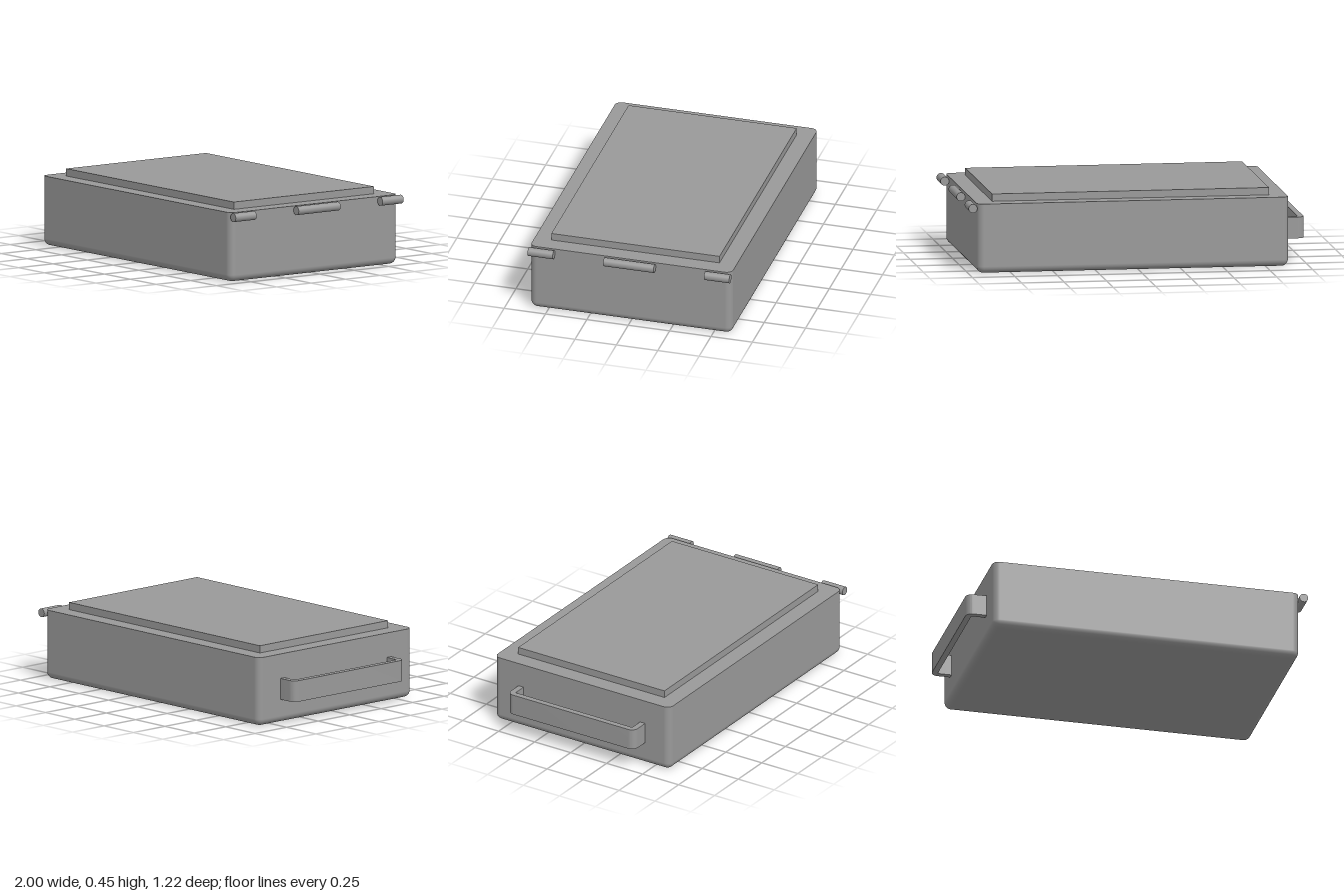
import * as THREE from 'three';
import { RoundedBoxGeometry } from 'three/addons/geometries/RoundedBoxGeometry.js';
import { toCreasedNormals } from 'three/addons/utils/BufferGeometryUtils.js';

const material = new THREE.MeshStandardMaterial({ color: 0x999999 }); // dark grey
const TOP = 0.408;      // height of the case body
const CENTRE_X = 0.033; // the case sits off centre to leave room for the handle

function part(name, geometry, x = 0, y = 0, z = 0) {
  const mesh = new THREE.Mesh(geometry, material);
  mesh.name = name;
  mesh.position.set(x, y, z);
  return mesh;
}

// Rounded box whose upper fillet is pressed flat, leaving a sharp top rim
function bodyGeometry(width, depth, radius) {
  const height = TOP + radius;
  const geometry = new RoundedBoxGeometry(width, height, depth, 6, radius);
  geometry.translate(0, height / 2, 0);
  const pos = geometry.attributes.position;
  const normal = geometry.attributes.normal;
  for (let i = 0; i < pos.count; i += 3) {
    const corners = [i, i + 1, i + 2];
    const flat = corners.every((c) => pos.getY(c) > TOP - 1e-4);
    for (const c of corners) {
      pos.setY(c, Math.min(pos.getY(c), TOP));
      if (flat) normal.setXYZ(c, 0, 1, 0);
    }
  }
  return geometry;
}

// U-shaped bar drawn in plan and extruded upwards
function handleGeometry() {
  const inner = -0.878, outer = -1, half = 0.44, t = 0.035, r = 0.04, ri = 0.006;
  const s = new THREE.Shape();
  s.moveTo(inner, half);
  s.lineTo(outer + r, half);
  s.absarc(outer + r, half - r, r, Math.PI / 2, Math.PI, false);
  s.absarc(outer + r, -half + r, r, Math.PI, Math.PI * 1.5, false);
  s.lineTo(inner, -half);
  s.lineTo(inner, -half + t);
  s.absarc(outer + t + ri, -half + t + ri, ri, Math.PI * 1.5, Math.PI, true);
  s.absarc(outer + t + ri, half - t - ri, ri, Math.PI, Math.PI / 2, true);
  s.lineTo(inner, half - t);
  s.closePath();
  const geometry = new THREE.ExtrudeGeometry(s, { depth: 0.125, bevelEnabled: false, curveSegments: 8 });
  geometry.rotateX(-Math.PI / 2);
  return toCreasedNormals(geometry, 0.6);
}

export function createModel() {
  const model = new THREE.Group();
  model.name = 'hingedCase';

  model.add(part('caseBody', bodyGeometry(1.83, 1.218, 0.04), CENTRE_X));
  model.add(part('raisedPanel', new THREE.BoxGeometry(1.628, 0.043, 1.016), CENTRE_X, TOP + 0.0215));
  model.add(part('handle', handleGeometry(), 0, 0.138));

  // Hinge knuckles along the left side: [centre z, length]
  for (const [z, length] of [[-0.533, 0.152], [0, 0.304], [0.533, 0.152]]) {
    const knuckle = new THREE.CylinderGeometry(0.0255, 0.0255, length, 32).rotateX(Math.PI / 2);
    model.add(part('hingeKnuckle', knuckle, 0.9745, 0.383, z));
  }
  return model;
}
